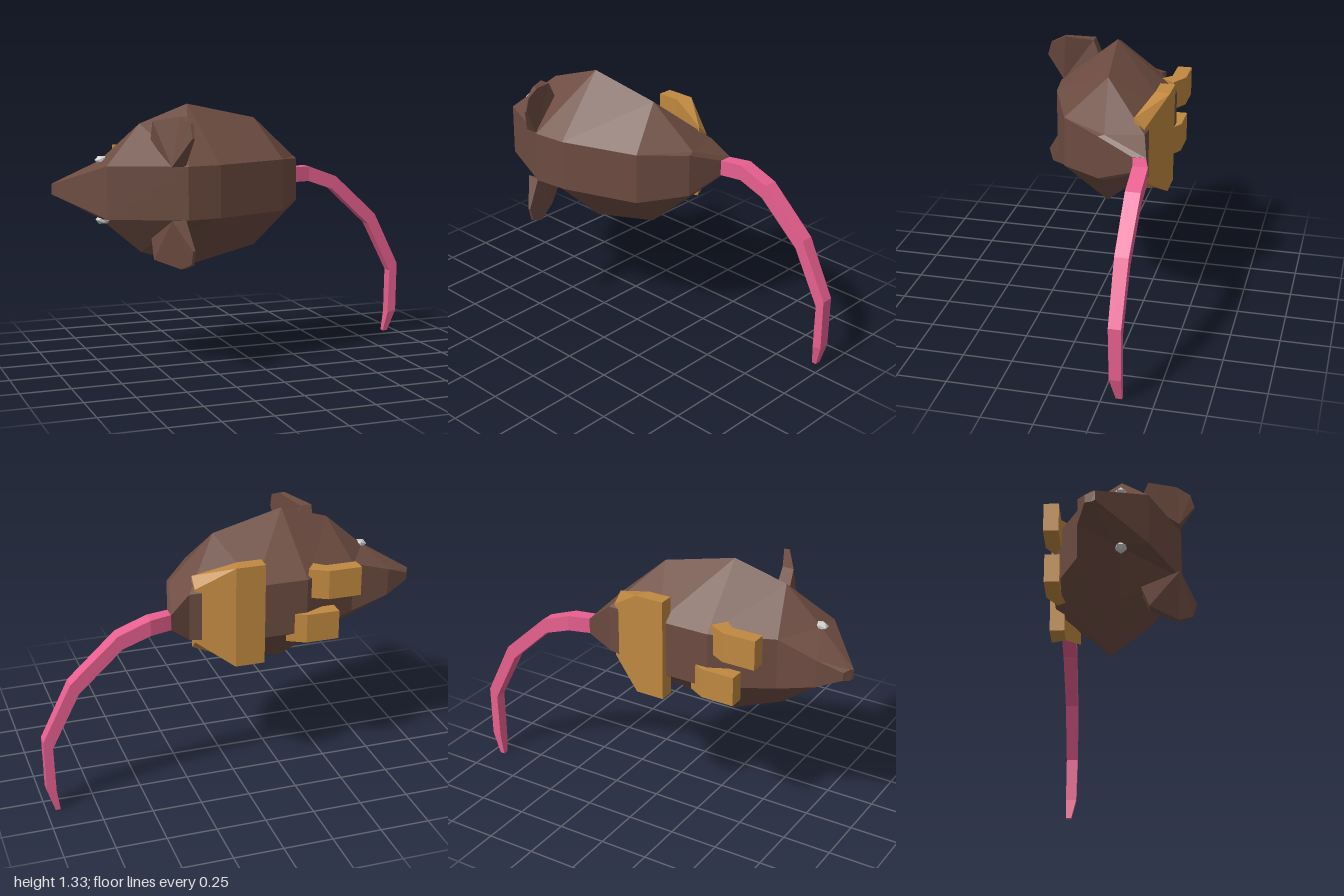
import * as THREE from 'three';

const CY = 0.92; // height of the body's plane of symmetry

const mat = (color) => new THREE.MeshStandardMaterial({ color, flatShading: true });
const brown = mat(0x6d4c41), pink = mat(0xe8608f), gold = mat(0xc08840), white = mat(0xcccccc);

// Closed skin over rings of points, with a fan over each end
function loft(rings) {
  const n = rings[0].length, tris = [];
  for (let i = 0; i < rings.length - 1; i++) {
    for (let j = 0; j < n; j++) {
      const k = (j + 1) % n, a = rings[i], b = rings[i + 1];
      tris.push([a[j], a[k], b[k]], [a[j], b[k], b[j]]);
    }
  }
  const first = rings[0], last = rings[rings.length - 1];
  for (let j = 1; j < n - 1; j++) {
    tris.push([first[0], first[j + 1], first[j]], [last[0], last[j], last[j + 1]]);
  }
  // turn all faces outward by the sign of the enclosed volume
  let volume = 0;
  const v = tris.map((t) => t.map((p) => new THREE.Vector3(...p)));
  for (const [a, b, c] of v) volume += a.dot(b.clone().cross(c));
  if (volume < 0) v.forEach((t) => t.reverse());
  const geo = new THREE.BufferGeometry().setFromPoints(v.flat());
  geo.computeVertexNormals();
  return geo;
}

export function createModel() {
  const model = new THREE.Group();
  const add = (name, geo, material) => {
    const mesh = new THREE.Mesh(geo, material);
    mesh.name = name;
    model.add(mesh);
    return mesh;
  };

  // Body: six-sided sections from snout to rump, each [x, z, half width] for back, flank, belly
  const sections = [
    [[-1, -0.1, 0.025], [-0.99, -0.12, 0.028], [-0.97, -0.15, 0.02]],
    [[-0.78, 0.14, 0.13], [-0.78, 0.0, 0.145], [-0.85, -0.19, 0.07]],
    [[-0.42, 0.3, 0.13], [-0.58, 0.01, 0.32], [-0.65, -0.2, 0.13]],
    [[-0.25, 0.28, 0.13], [-0.32, -0.03, 0.41], [-0.35, -0.34, 0.14]],
    [[0.13, 0.14, 0.13], [0.05, -0.065, 0.33], [-0.08, -0.34, 0.14]],
    [[0.29, -0.07, 0.11], [0.285, -0.1, 0.12], [0.24, -0.29, 0.12]],
    [[0.34, -0.25, 0.04], [0.34, -0.285, 0.042], [0.34, -0.32, 0.04]],
  ];
  add('body', loft(sections.map(([t, s, b]) => [
    [t[0], CY + t[2], t[1]], [s[0], CY + s[2], s[1]], [b[0], CY + b[2], b[1]],
    [b[0], CY - b[2], b[1]], [s[0], CY - s[2], s[1]], [t[0], CY - t[2], t[1]],
  ])), brown);

  // Tail: four-sided, each [outer x, y, inner x, y, low z, high z]
  const tail = [
    [0.33, 0.96, 0.33, 0.88, -0.315, -0.25],
    [0.45, 0.96, 0.45, 0.88, -0.35, -0.275],
    [0.61, 0.9, 0.59, 0.83, -0.35, -0.275],
    [0.85, 0.68, 0.81, 0.625, -0.348, -0.28],
    [0.995, 0.39, 0.95, 0.35, -0.347, -0.285],
    [0.993, 0.12, 0.945, 0.11, -0.347, -0.29],
    [0.955, 0, 0.93, 0, -0.345, -0.315],
  ];
  add('tail', loft(tail.map(([ox, oy, ix, iy, lo, hi]) => [
    [ox, oy, lo], [ox, oy, hi], [ix, iy, hi], [ix, iy, lo],
  ])), pink);

  // Feet: flat sole bending up to the body, each [sole x, z, half width, top x, z, half width]
  const foot = (name, steps, y) => add(name, loft(steps.map(([bx, bz, bw, tx, tz, tw]) => [
    [bx, bz, y + bw], [tx, tz, y + tw], [tx, tz, y - tw], [bx, bz, y - bw],
  ].map(([x, z, h]) => [x, h, z]))), gold);
  foot('hindFeet', [
    [-0.12, -0.37, 0.26, -0.12, -0.295, 0.26],
    [0.03, -0.37, 0.26, 0.0, -0.295, 0.26],
    [0.21, -0.285, 0.14, 0.21, -0.23, 0.19],
  ], CY);
  for (const [name, side, x] of [['leftForefoot', 1, -0.62], ['rightForefoot', -1, -0.51]]) {
    const w = 0.075;
    foot(name, [
      [x, -0.37, w, x, -0.295, w],
      [x + 0.17, -0.37, w, x + 0.16, -0.295, w],
      [x + 0.26, -0.32, w, x + 0.21, -0.25, w],
    ], CY + side * 0.11);
  }

  for (const side of [1, -1]) {
    const label = side > 0 ? 'upper' : 'lower';

    // Ear: leaning blade, thick at the root and thin at the rim, [x, offset, z, thickness]
    const rim = [
      [-0.43, 0.13, 0.29, 0.07], [-0.41, 0.27, 0.37, 0.012], [-0.41, 0.34, 0.35, 0.015],
      [-0.425, 0.37, 0.28, 0.03], [-0.49, 0.34, 0.14, 0.06], [-0.48, 0.24, 0.1, 0.07],
    ];
    const front = rim.map(([x, d, z, t]) => [x - t, CY + side * d, z]);
    const back = rim.map(([x, d, z]) => [x, CY + side * d, z]);
    add(label + 'Ear', loft([front, back]), brown);

    // Eye: small flattened gem on the cheek
    const eye = add(label + 'Eye', new THREE.IcosahedronGeometry(0.04, 0), white);
    eye.scale.set(1, 0.6, 0.75);
    eye.position.set(-0.77, CY + side * 0.147, 0.01);
  }

  return model;
}
